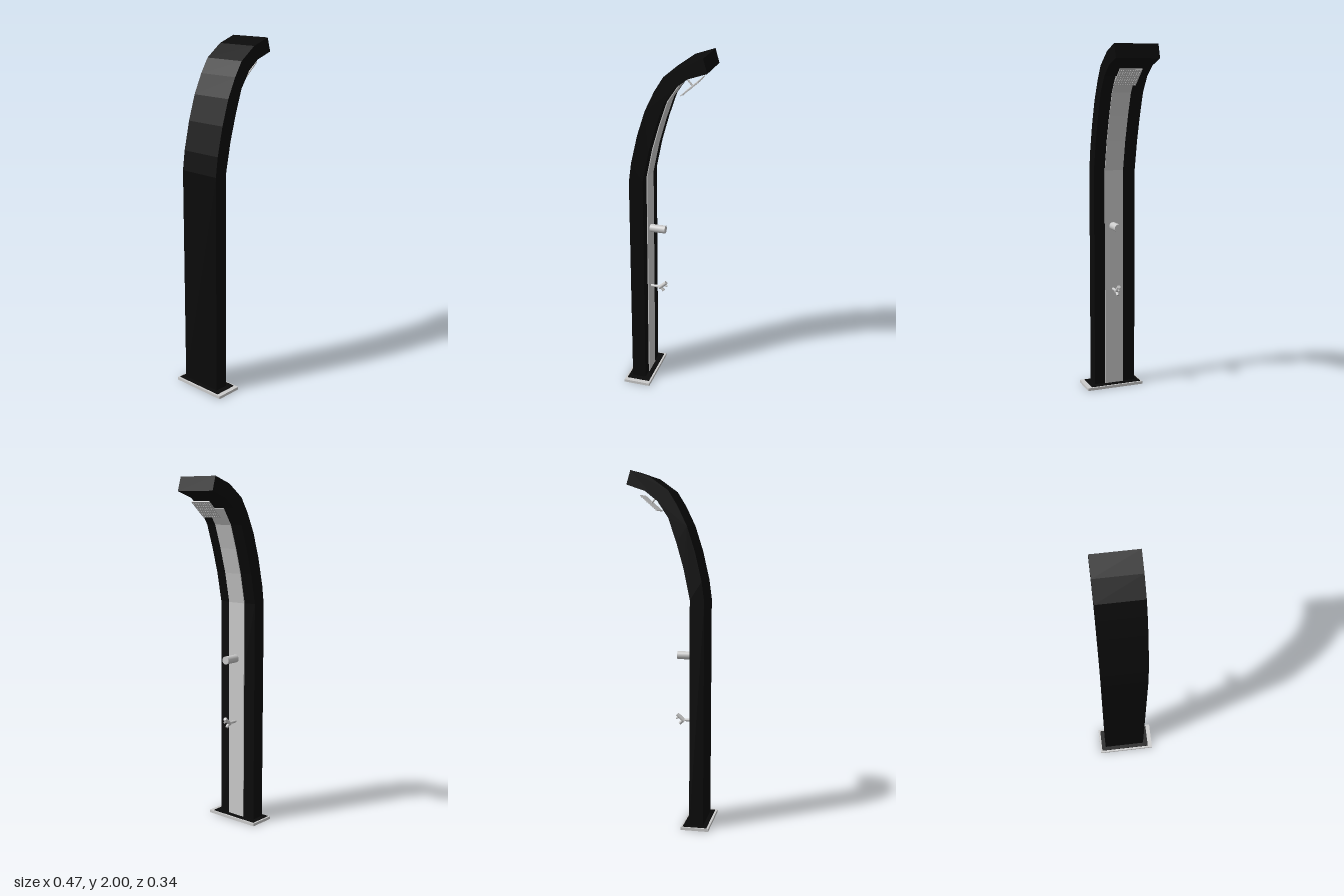
import * as THREE from 'three';

const grey = new THREE.MeshStandardMaterial({ color: 0xcccccc });
const black = new THREE.MeshStandardMaterial({ color: 0x0a0a0a });

// Side profile of the bent column: back edge going up, inner edge going up
const backEdge = [[-0.2, 0.015], [-0.2, 1.29], [-0.185, 1.4], [-0.148, 1.56], [-0.103, 1.7], [-0.05, 1.81], [0, 1.89], [0.1, 1.962], [0.21, 2]];
const innerEdge = [[-0.12, 0.015], [-0.12, 1.3], [-0.085, 1.47], [-0.045, 1.61], [0, 1.743], [0.06, 1.833], [0.13, 1.888], [0.233, 1.923]];

function add(parent, name, geometry, material) {
  const mesh = new THREE.Mesh(geometry, material);
  mesh.name = name;
  parent.add(mesh);
  return mesh;
}

function box(parent, name, material, x0, x1, y0, y1, z0, z1) {
  const mesh = add(parent, name, new THREE.BoxGeometry(x1 - x0, y1 - y0, z1 - z0), material);
  mesh.position.set((x0 + x1) / 2, (y0 + y1) / 2, (z0 + z1) / 2);
  return mesh;
}

// Extrudes a side profile between two z values
function slab(parent, name, material, points, z0, z1) {
  const shape = new THREE.Shape(points.map(([x, y]) => new THREE.Vector2(x, y)));
  const geometry = new THREE.ExtrudeGeometry(shape, { depth: z1 - z0, bevelEnabled: false });
  return add(parent, name, geometry.translate(0, 0, z0), material);
}

// Round bar between two points in the z = 0 plane
function bar(parent, name, a, b, radius, sides = 16) {
  const start = new THREE.Vector3(a[0], a[1], 0);
  const end = new THREE.Vector3(b[0], b[1], 0);
  const mesh = add(parent, name, new THREE.CylinderGeometry(radius, radius, start.distanceTo(end), sides), grey);
  mesh.position.copy(start).add(end).multiplyScalar(0.5);
  mesh.quaternion.setFromUnitVectors(new THREE.Vector3(0, 1, 0), end.sub(start).normalize());
  return mesh;
}

export function createModel() {
  const model = new THREE.Group();
  model.name = 'outdoorShower';

  // Foot
  box(model, 'basePlate', grey, -0.235, -0.077, 0, 0.016, -0.173, 0.172);
  box(model, 'baseGasket', black, -0.223, -0.088, 0.012, 0.02, -0.162, 0.145);

  // Column and the pale strip that follows its inner face
  slab(model, 'column', black, [...innerEdge, ...[...backEdge].reverse()], -0.137, 0.115);
  const run = innerEdge.slice(0, 6);
  const strip = [
    ...run.map(([x, y]) => [x + 0.005, y - 0.001]),
    ...run.map(([x, y]) => [x - 0.008, y + 0.002]).reverse(),
  ];
  slab(model, 'frontStrip', grey, strip, -0.062, 0.05);

  // Water outlet
  bar(model, 'outletPipe', [-0.125, 0.973], [-0.025, 0.973], 0.023, 24);

  // Small forked tap
  const tap = new THREE.Group();
  tap.name = 'footTap';
  model.add(tap);
  bar(tap, 'tapStem', [-0.125, 0.597], [-0.055, 0.597], 0.008);
  bar(tap, 'tapHandle', [-0.065, 0.59], [-0.022, 0.629], 0.011);
  bar(tap, 'tapSpout', [-0.06, 0.6], [-0.037, 0.575], 0.009);
  bar(tap, 'tapKnob', [-0.032, 0.612], [-0.016, 0.606], 0.006);

  // Tilted square shower head with a grid of nozzles on its underside
  const head = new THREE.Group();
  head.name = 'showerHead';
  head.position.set(0.127, 1.826, 0.005);
  head.rotation.z = Math.atan2(0.085, 0.097);
  model.add(head);
  add(head, 'headPlate', new THREE.BoxGeometry(0.128, 0.005, 0.13), grey);
  const nozzle = new THREE.CylinderGeometry(0.0025, 0.002, 0.004, 8);
  for (let i = -4; i <= 4; i++) {
    for (let j = -4; j <= 4; j++) {
      add(head, 'nozzle', nozzle, grey).position.set(i * 0.0135, -0.004, j * 0.0135);
    }
  }
  bar(head, 'headStem', [0, 0], [0, 0.05], 0.005);
  return model;
}
